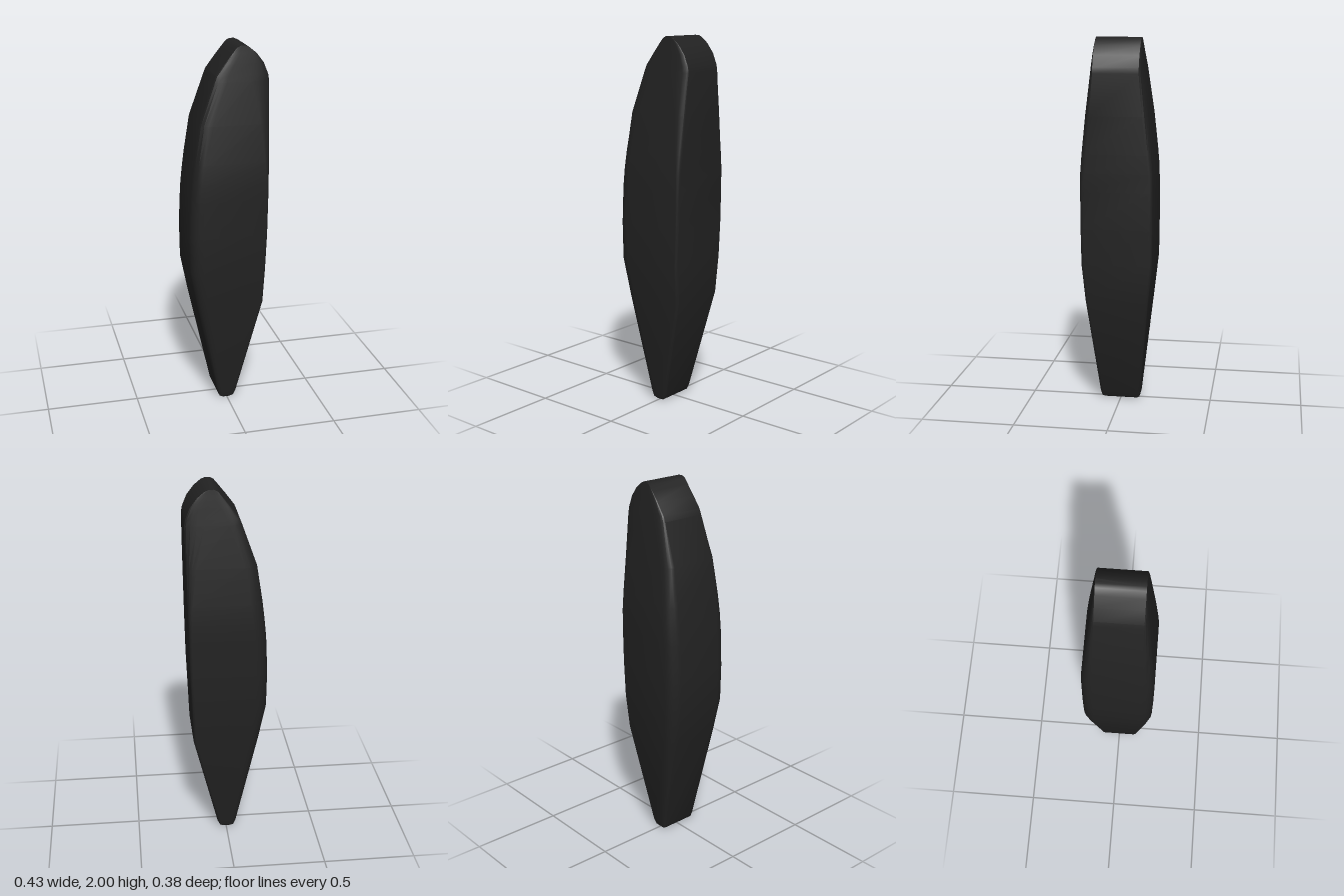
import * as THREE from 'three';
import { toCreasedNormals } from 'three/addons/utils/BufferGeometryUtils.js';

// Horizontal sections: y, left x, right x, z at left edge, z in the middle,
// z at right edge, left corner width, right corner width
const sections = [
  [0, -0.025, 0.02, 0.09, 0.095, 0.09, 0.01, 0.01],
  [0.01, -0.042, 0.036, 0.095, 0.105, 0.095, 0.02, 0.015],
  [0.04, -0.056, 0.05, 0.09, 0.112, 0.095, 0.03, 0.015],
  [0.6, -0.176, 0.185, 0.12, 0.17, 0.155, 0.055, 0.015],
  [0.8, -0.214, 0.192, 0.13, 0.19, 0.172, 0.065, 0.015],
  [1.0, -0.217, 0.2, 0.13, 0.192, 0.175, 0.065, 0.015],
  [1.2, -0.208, 0.204, 0.13, 0.192, 0.172, 0.065, 0.015],
  [1.3, -0.198, 0.206, 0.13, 0.191, 0.168, 0.065, 0.018],
  [1.4, -0.186, 0.208, 0.128, 0.184, 0.158, 0.065, 0.025],
  [1.6, -0.155, 0.212, 0.125, 0.166, 0.138, 0.065, 0.05],
  [1.82, -0.077, 0.215, 0.12, 0.142, 0.12, 0.065, 0.1],
  [1.85, -0.065, 0.21, 0.12, 0.138, 0.12, 0.06, 0.1],
  [1.91, -0.02, 0.186, 0.12, 0.131, 0.12, 0.05, 0.08],
  [1.96, 0.02, 0.148, 0.12, 0.125, 0.12, 0.04, 0.05],
  [1.99, 0.045, 0.112, 0.12, 0.121, 0.12, 0.02, 0.02],
  [2.0, 0.065, 0.09, 0.12, 0.12, 0.12, 0.008, 0.008],
];
const STEPS = 4;

// Closed ring: rounded front half, then its mirror on the back
function ring([y, xl, xr, zl, zm, zr, rl, rr]) {
  const front = [];
  for (let i = 0; i <= STEPS; i++) {
    const a = (i / STEPS) * Math.PI / 2;
    front.push([xl + rl * (1 - Math.cos(a)), y, zl + (zm - zl) * Math.sin(a)]);
  }
  for (let i = STEPS; i >= 0; i--) {
    const a = (i / STEPS) * Math.PI / 2;
    front.push([xr - rr * (1 - Math.cos(a)), y, zr + (zm - zr) * Math.sin(a)]);
  }
  const back = front.map(([x, h, z]) => [x, h, -z]).reverse();
  return [...front, ...back];
}

function loft(rows) {
  const rings = rows.map(ring);
  const n = rings[0].length;
  const index = [];
  for (let k = 0; k < rings.length - 1; k++) {
    for (let i = 0; i < n; i++) {
      const j = (i + 1) % n;
      const a = k * n + i, b = k * n + j;
      index.push(a, b, b + n, a, b + n, a + n);
    }
  }
  // Flat ends
  const top = (rings.length - 1) * n;
  for (let i = 1; i < n - 1; i++) {
    index.push(0, i + 1, i);
    index.push(top, top + i, top + i + 1);
  }
  const geometry = new THREE.BufferGeometry();
  geometry.setAttribute('position', new THREE.Float32BufferAttribute(rings.flat(2), 3));
  geometry.setIndex(index);
  return toCreasedNormals(geometry, 0.5);
}

export function createModel() {
  const group = new THREE.Group();
  group.name = 'taperedSlab';
  const body = new THREE.Mesh(loft(sections), new THREE.MeshStandardMaterial({ color: 0x222222 }));
  body.name = 'slabBody';
  group.add(body);
  return group;
}
